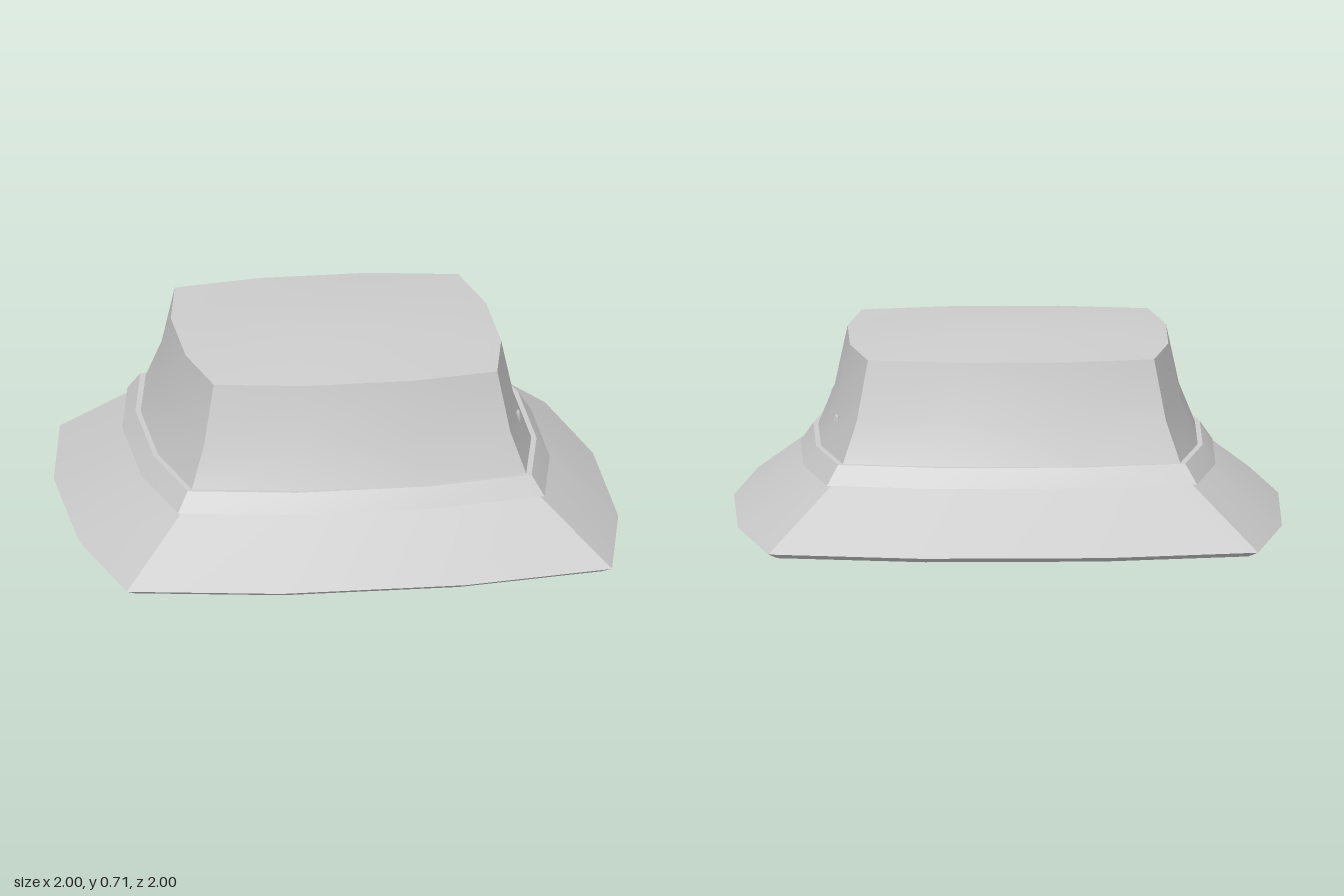
import * as THREE from 'three';
import { mergeVertices, toCreasedNormals } from 'three/addons/utils/BufferGeometryUtils.js';

// Bowed square of 12 points: corner distance c, side distance m, side-point offset s, height y
function ring([c, m, s, y]) {
  const quarter = [[c, -c], [m, -s], [m, s]];
  const points = [];
  for (let k = 0; k < 4; k++) {
    for (const [x, z] of quarter) {
      const [px, pz] = [[x, z], [-z, x], [-x, -z], [z, -x]][k];
      points.push([px, y, pz]);
    }
  }
  return points;
}

function build(triangles, crease) {
  const geometry = new THREE.BufferGeometry();
  geometry.setAttribute('position', new THREE.Float32BufferAttribute(triangles.flat(), 3));
  return toCreasedNormals(mergeVertices(geometry), crease);
}

// Skin joining rings; a rising profile faces outward, a falling one inward
function loft(profile, crease) {
  const rings = profile.map(ring);
  const tris = [];
  for (let r = 0; r < rings.length - 1; r++) {
    const a = rings[r], b = rings[r + 1];
    for (let i = 0; i < 12; i++) {
      const n = (i + 1) % 12;
      tris.push(a[i], b[i], a[n], a[n], b[i], b[n]);
    }
  }
  return build(tris, crease);
}

// Gently domed 4 x 4 grid closing the crown
function dome([c, m, s, y], rise, faceDown) {
  const rows = [
    [[-c, -c], [-s, -m], [s, -m], [c, -c]],
    [[-m, -s], [-s, -s], [s, -s], [m, -s]],
    [[-m, s], [-s, s], [s, s], [m, s]],
    [[-c, c], [-s, m], [s, m], [c, c]],
  ];
  const at = (j, i) => {
    const inside = i % 3 !== 0 && j % 3 !== 0;
    return [rows[j][i][0], inside ? y + rise : y, rows[j][i][1]];
  };
  const tris = [];
  for (let j = 0; j < 3; j++) {
    for (let i = 0; i < 3; i++) {
      const p = at(j, i), q = at(j + 1, i), r = at(j, i + 1), t = at(j + 1, i + 1);
      if (faceDown) tris.push(p, r, q, r, t, q);
      else tris.push(p, q, r, r, q, t);
    }
  }
  return build(tris, 0.6);
}

export function createModel() {
  const hat = new THREE.Group();
  hat.name = 'bucketHat';
  const cloth = new THREE.MeshStandardMaterial({ color: 0xcccccc });
  cloth.name = 'grey cloth';

  const add = (name, geometry) => {
    const mesh = new THREE.Mesh(geometry, cloth);
    mesh.name = name;
    hat.add(mesh);
    return mesh;
  };

  // Flared brim with a thin turned-under lip
  const lip = [0.865, 0.96, 0.325, 0];
  add('brim', loft([
    lip,
    [0.9, 1, 0.34, 0.02],
    [0.66, 0.735, 0.255, 0.236],
  ], 0.5));

  // Raised band between brim and crown
  add('band', loft([
    [0.655, 0.73, 0.25, 0.236],
    [0.68, 0.757, 0.26, 0.236],
    [0.638, 0.71, 0.245, 0.306],
    [0.615, 0.685, 0.235, 0.306],
  ], 0.5));

  // Crown wall and top
  const crownTop = [0.526, 0.585, 0.2, 0.676];
  add('crown', loft([
    [0.62, 0.692, 0.235, 0.306],
    [0.568, 0.632, 0.215, 0.455],
    crownTop,
  ], 0.6));
  add('crownTop', dome(crownTop, 0.039, false));

  // Inner lining: a steep wall that turns smoothly into the shallow brim underside
  const liningTop = [0.512, 0.57, 0.196, 0.66];
  add('lining', loft([
    liningTop,
    [0.532, 0.592, 0.202, 0.227],
    lip,
  ], 1.13));
  add('liningTop', dome(liningTop, 0.039, true));

  // Two small square eyelets, half sunk into one side of the crown
  const eyeletShape = new THREE.TorusGeometry(0.025, 0.006, 4, 4);
  eyeletShape.rotateZ(Math.PI / 4);
  for (const side of [-1, 1]) {
    const eyelet = add('eyelet', toCreasedNormals(eyeletShape, 0.5));
    eyelet.position.set(0.636, 0.408, side * 0.293);
    const outward = new THREE.Vector3(1, 0.15, side * 0.18);
    eyelet.lookAt(outward.add(eyelet.position));
  }
  return hat;
}
